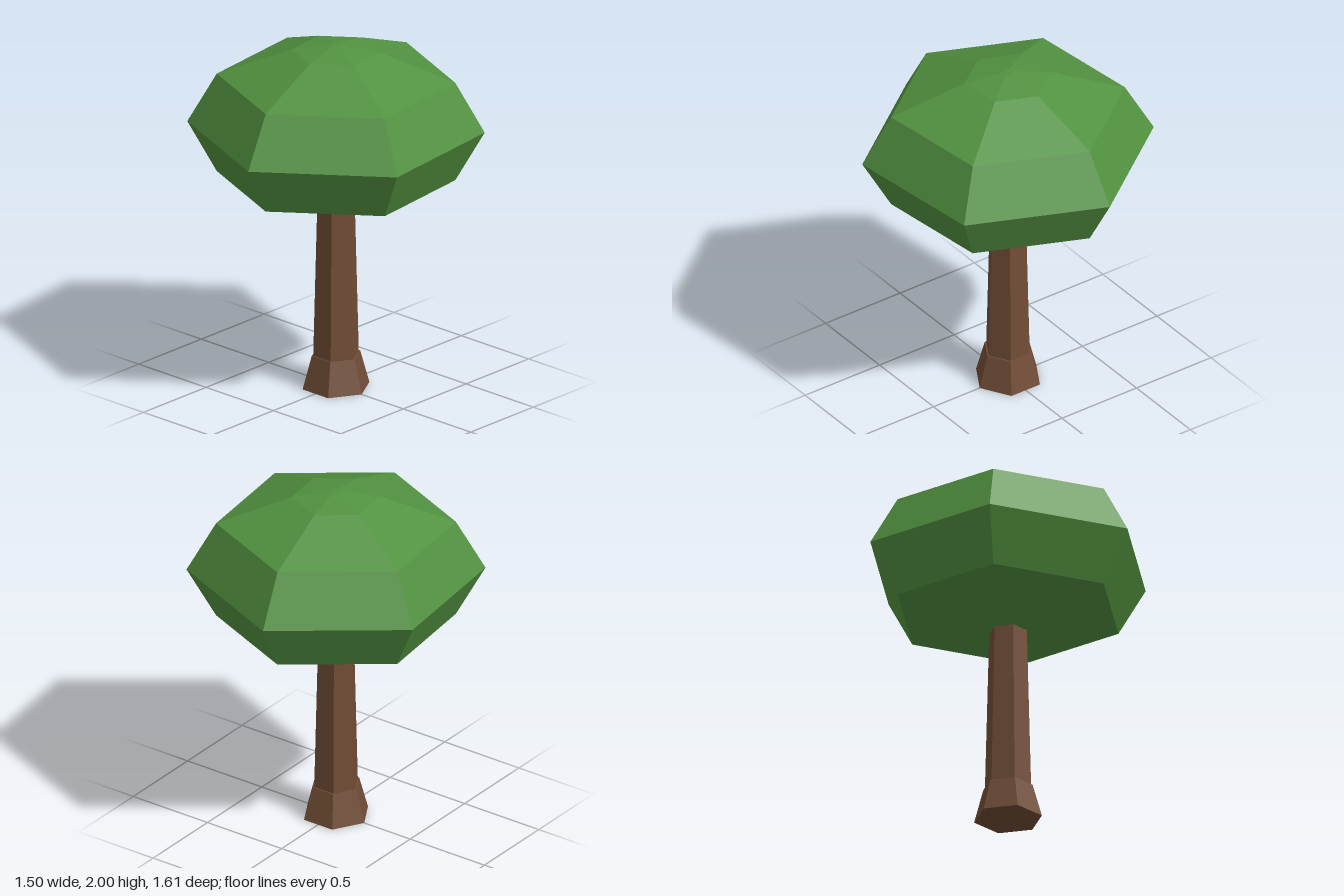
import * as THREE from 'three';

const SIDES = 6;

// Splits shared vertices so every facet is shaded flat
function facet(geometry) {
  const flat = geometry.toNonIndexed();
  flat.computeVertexNormals();
  return flat;
}

function addPart(group, name, geometry, material) {
  const mesh = new THREE.Mesh(facet(geometry), material);
  mesh.name = name;
  group.add(mesh);
}

// Six-sided tapered column between two heights, with corners on the x axis
function column(bottomRadius, topRadius, y0, y1) {
  return new THREE.CylinderGeometry(topRadius, bottomRadius, y1 - y0, SIDES, 1, false, Math.PI / 6)
    .translate(0, (y0 + y1) / 2, 0);
}

export function createModel() {
  const tree = new THREE.Group();
  tree.name = 'tree';

  const bark = new THREE.MeshStandardMaterial({ color: 0x714d36 });
  bark.name = 'bark brown';
  const leaf = new THREE.MeshStandardMaterial({ color: 0x529240 });
  leaf.name = 'leaf green';

  // Flared foot and slender trunk
  addPart(tree, 'trunkBase', column(0.19, 0.138, 0, 0.19), bark);
  addPart(tree, 'trunk', column(0.13, 0.105, 0.17, 1.14), bark);

  // Faceted canopy, turned slightly; profile as [radius, height]
  const profile = [
    [0, 1.12], [0.1, 1.12], [0.652, 1.23], [0.813, 1.515],
    [0.652, 1.8], [0.243, 1.96], [0.03, 2], [0, 2],
  ].map(([r, y]) => new THREE.Vector2(r, y));
  addPart(tree, 'canopy', new THREE.LatheGeometry(profile, SIDES, 0.122), leaf);

  return tree;
}
